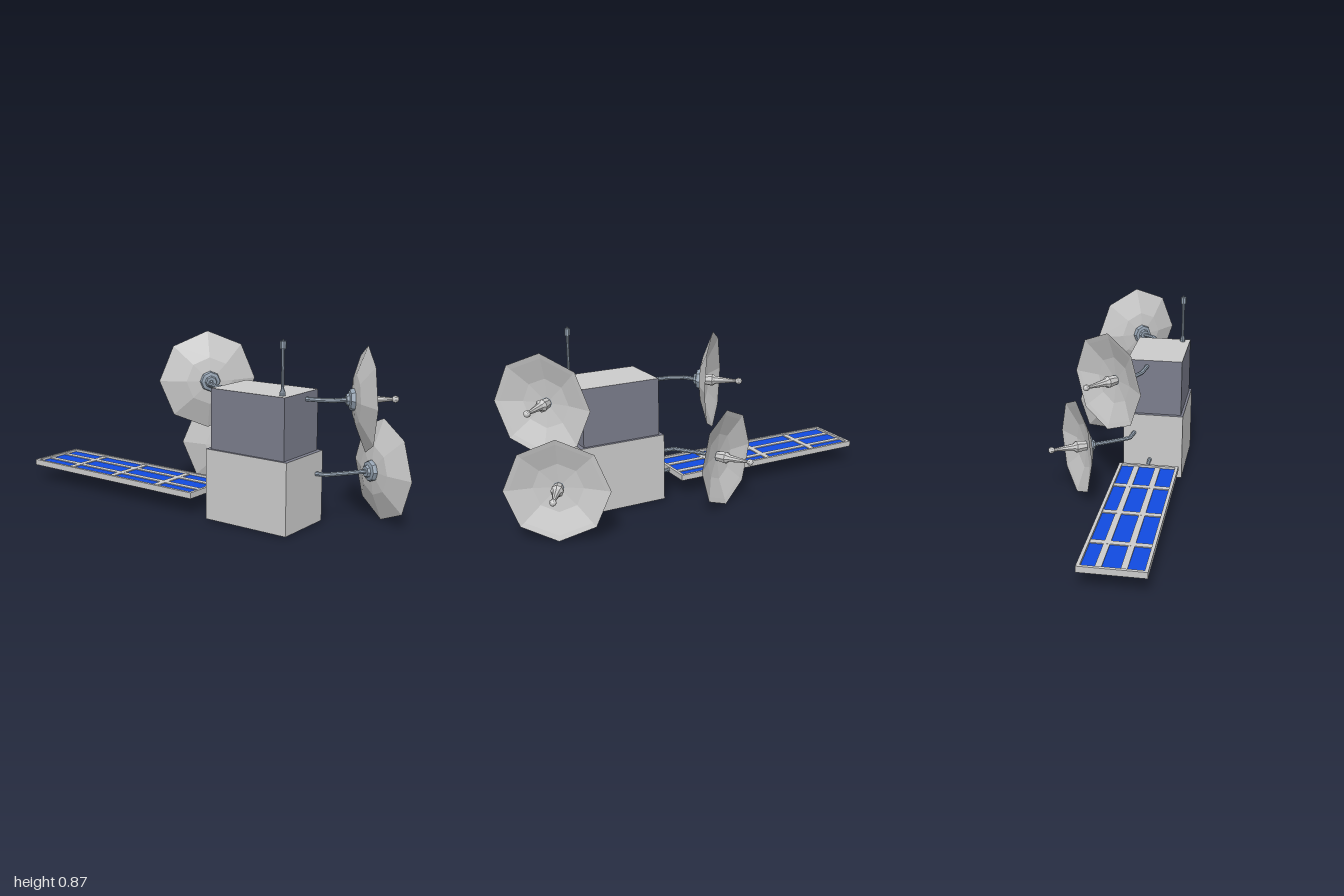
import * as THREE from 'three';

const mat = (color) => new THREE.MeshStandardMaterial({ color, flatShading: true });
const grey = mat(0xcccccc), slate = mat(0x7b7d8c), steel = mat(0x93a1b0), blue = mat(0x114ae0);

function add(parent, name, geometry, material, x = 0, y = 0, z = 0) {
  const mesh = new THREE.Mesh(geometry, material);
  mesh.name = name;
  mesh.position.set(x, y, z);
  parent.add(mesh);
  return mesh;
}

// Box given by its low and high corners
function block(parent, name, lo, hi, material) {
  const size = hi.map((v, i) => v - lo[i]);
  const mid = hi.map((v, i) => (v + lo[i]) / 2);
  return add(parent, name, new THREE.BoxGeometry(...size), material, ...mid);
}

// Lathed part along y from [radius, height] pairs
const turned = (points, sides = 8) =>
  new THREE.LatheGeometry(points.map(([r, h]) => new THREE.Vector2(r, h)), sides);

// Dish with hub and feed, facing backwards and turned outwards by the given angle
function makeDish(name, angle) {
  const dish = new THREE.Group();
  dish.name = name;
  add(dish, 'reflector', turned([
    [0, -0.063], [0.115, -0.048], [0.24, 0], [0.215, -0.007], [0.115, -0.04], [0, -0.053],
  ]), grey);
  add(dish, 'hub', turned([
    [0, -0.092], [0.025, -0.092], [0.03, -0.08], [0.046, -0.076], [0.05, -0.066], [0.05, -0.05], [0, -0.05],
  ]), steel);
  add(dish, 'feedHorn', turned([
    [0, -0.056], [0.022, -0.056], [0.03, 0], [0.019, 0.014], [0.007, 0.118], [0, 0.118],
  ]), grey);
  add(dish, 'feedTip', new THREE.SphereGeometry(0.016, 10, 8), grey, 0, 0.127, 0);
  dish.rotation.order = 'YXZ';
  dish.rotation.set(-Math.PI / 2, -angle, 0);
  return dish;
}

// Bent arm through a few points, straight between them
function makeArm(points) {
  const path = new THREE.CurvePath();
  const v = points.map((p) => new THREE.Vector3(...p));
  for (let i = 1; i < v.length; i++) path.add(new THREE.LineCurve3(v[i - 1], v[i]));
  return new THREE.TubeGeometry(path, 16, 0.0105, 8);
}

export function createModel() {
  const model = new THREE.Group();
  model.name = 'satellite';

  // Body: face order is +x, -x, top, bottom, front, back
  block(model, 'lowerBody', [0.15, 0.01, 0.01], [0.587, 0.343, 0.31],
    [grey, grey, slate, blue, grey, grey]);
  block(model, 'upperBody', [0.17, 0.343, 0.025], [0.566, 0.624, 0.298],
    [slate, slate, grey, slate, slate, slate]);

  // Mast on the roof
  add(model, 'mast', turned([
    [0.013, 0.62], [0.013, 0.638], [0.007, 0.655], [0.007, 0.828], [0.014, 0.828],
    [0.014, 0.862], [0.004, 0.862], [0.004, 0.87], [0, 0.87],
  ]), steel, 0.53, 0, 0.26);

  // Dishes and arms, mirrored to both sides
  const dishes = [
    { name: 'lower', y: 0.243, z: -0.185, angle: Math.PI / 6, x: [0.79, -0.085],
      rootX: [0.57, 0.17], rootZ: 0.066, bend: 0.115 },
    { name: 'upper', y: 0.593, z: -0.0265, angle: Math.PI * 50 / 180, x: [0.784, -0.1],
      rootX: [0.55, 0.19], rootZ: 0.125, bend: 0.1 },
  ];
  for (const d of dishes) {
    [1, -1].forEach((side, i) => {
      const label = d.name + (side > 0 ? 'Left' : 'Right');
      const dish = makeDish(label + 'Dish', d.angle * side);
      dish.position.set(d.x[i], d.y, d.z);
      model.add(dish);
      const hubX = d.x[i] - side * Math.sin(d.angle) * 0.085;
      const hubZ = d.z + Math.cos(d.angle) * 0.085;
      add(model, label + 'Arm', makeArm([
        [d.rootX[i], d.y, d.rootZ],
        [hubX - side * d.bend, d.y, d.rootZ - 0.012],
        [hubX - side * 0.035, d.y, hubZ + 0.055],
        [hubX, d.y, hubZ],
      ]), steel);
    });
  }

  // Solar panel: cell sheet, rim and dividing bars
  const panel = new THREE.Group();
  panel.name = 'solarPanel';
  model.add(panel);
  const [x0, x1, z0, z1, y0, y1] = [-1, 0.053, 0.006, 0.304, 0.086, 0.115];
  const rim = 0.015;
  block(panel, 'cells', [x0 + rim, 0.098, z0 + rim], [x1 - rim, 0.103, z1 - rim], blue);
  for (const z of [z0, z1 - rim]) block(panel, 'longRim', [x0, y0, z], [x1, y1, z + rim], grey);
  for (const x of [x0, x1 - rim]) {
    block(panel, 'endRim', [x, y0, z0 + rim], [x + rim, y1, z1 - rim], grey);
  }
  for (const z of [0.095, 0.202]) {
    block(panel, 'longBar', [x0 + rim, 0.094, z - 0.014], [x1 - rim, 0.107, z + 0.014], grey);
  }
  for (const x of [-0.765, -0.478, -0.192]) {
    block(panel, 'crossBar', [x - 0.015, 0.0935, z0 + rim], [x + 0.015, 0.1075, z1 - rim], grey);
  }
  add(model, 'panelArm', makeArm([[0.045, 0.1, 0.145], [0.17, 0.1, 0.145]]), steel);

  return model;
}
